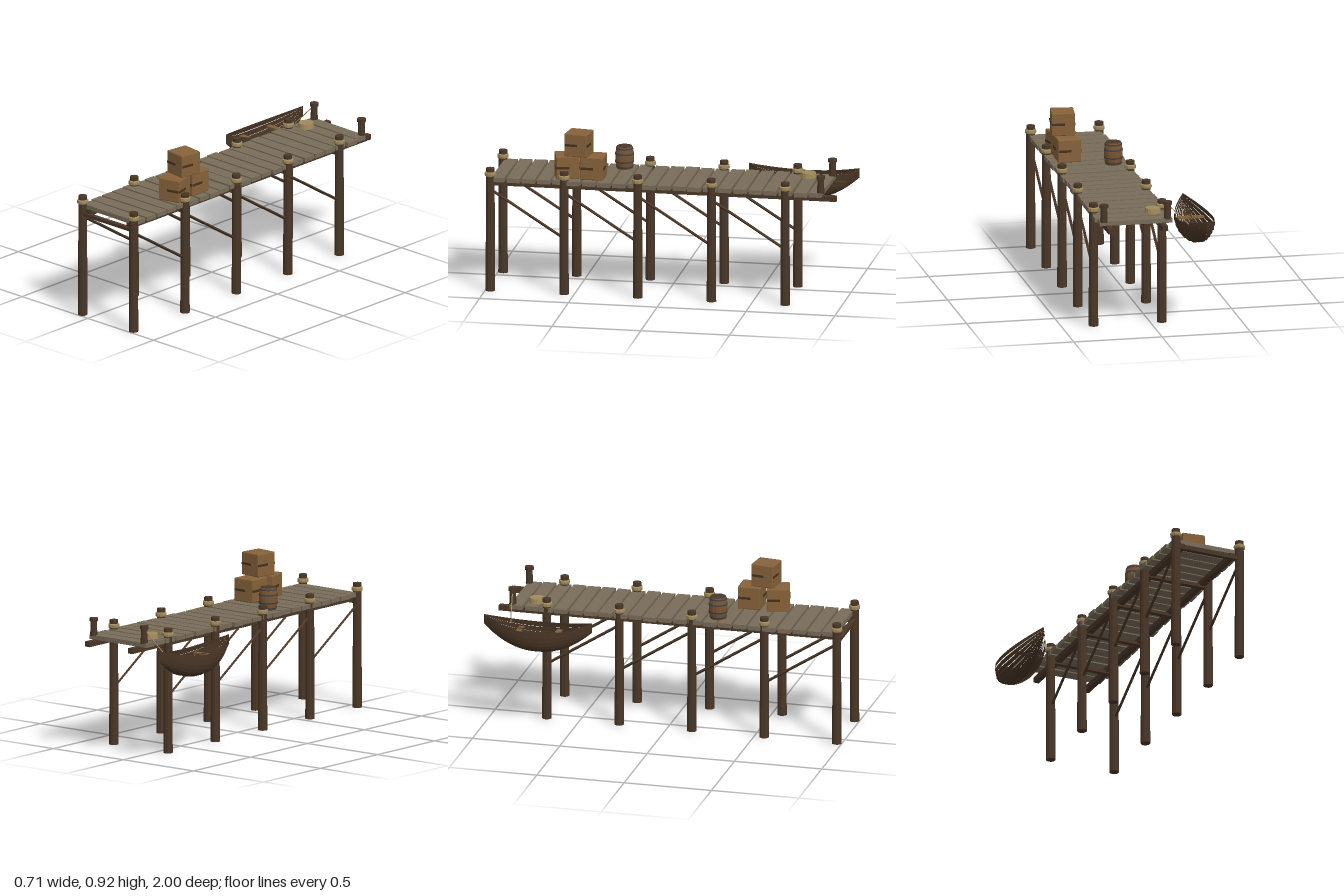
import * as THREE from 'three';
import { RoundedBoxGeometry } from 'three/addons/geometries/RoundedBoxGeometry.js';

const mat = (name, color, extra = {}) => {
  const m = new THREE.MeshStandardMaterial({ color, flatShading: true, ...extra });
  m.name = name;
  return m;
};

export function createModel() {
  const M = {
    timber: mat('dark timber', 0x4a3728),
    plank: mat('weathered plank', 0x786c59),
    crate: mat('crate wood', 0x86623a),
    barrel: mat('barrel wood', 0x7a5533),
    iron: mat('iron', 0x3c4246),
    slat: mat('crate slat', 0x45321f),
    rope: mat('rope', 0xa08a5c),
    hull: mat('hull wood', 0x473424, { side: THREE.DoubleSide }),
    thwart: mat('thwart wood', 0x80603c),
  };
  const root = new THREE.Group();
  root.name = 'pier';
  let seed = 7;
  const jitter = (a) => {
    seed = (seed * 16807) % 2147483647;
    return (seed / 2147483647 - 0.5) * 2 * a;
  };
  const add = (parent, name, geo, material, x = 0, y = 0, z = 0, ry = 0) => {
    const m = new THREE.Mesh(geo, material);
    m.name = name;
    m.position.set(x, y, z);
    m.rotation.y = ry;
    parent.add(m);
    return m;
  };
  const box = (w, h, d) => new THREE.BoxGeometry(w, h, d);
  const cyl = (rt, rb, h, n = 10) => new THREE.CylinderGeometry(rt, rb, h, n);
  // round bar between two points
  const bar = (parent, name, a, b, r, material, n = 6) => {
    const A = new THREE.Vector3(...a), B = new THREE.Vector3(...b);
    const d = B.clone().sub(A);
    const m = add(parent, name, cyl(r, r, d.length(), n), material);
    m.position.copy(A).add(B).multiplyScalar(0.5);
    m.quaternion.setFromUnitVectors(new THREE.Vector3(0, 1, 0), d.normalize());
    return m;
  };

  // deck planks
  for (let i = 0; i < 22; i++) {
    add(root, 'deckPlank', box(0.415 + jitter(0.008), 0.025, 0.073), M.plank,
      0.125 + jitter(0.006), 0.6385 + jitter(0.0015), 0.928 - i * 0.0851, jitter(0.018));
  }
  // stringers under the deck
  for (const x of [-0.024, 0.281]) add(root, 'stringer', box(0.032, 0.03, 1.94), M.timber, x, 0.612, 0);

  // posts with rope collars, cross beams and braces
  const postX = [-0.065, 0.322];
  const postZ = [0.972, 0.557, 0.142, -0.273, -0.688];
  postZ.forEach((z, i) => {
    add(root, 'crossBeam', box(0.39, 0.018, 0.028), M.timber, 0.128, 0.597, z);
    for (const x of postX) {
      add(root, 'post', cyl(0.024, 0.027, 0.703), M.timber, x, 0.3515, z);
      const collar = [[0.024, 0.656], [0.031, 0.66], [0.032, 0.669], [0.031, 0.678], [0.024, 0.682]];
      add(root, 'ropeCollar', new THREE.LatheGeometry(collar.map((p) => new THREE.Vector2(...p)), 10), M.rope, x, 0, z);
      if (i < 4) {
        bar(root, 'brace', [x, 0.575, z - 0.01], [x, 0.325, postZ[i + 1] + 0.01], 0.008, M.timber, 4);
      }
    }
  });

  // mooring bollards at the far end
  for (const x of [-0.055, 0.305]) {
    add(root, 'bollard', cyl(0.018, 0.021, 0.085), M.timber, x, 0.688, -0.885);
    add(root, 'bollardCap', cyl(0.025, 0.025, 0.018), M.timber, x, 0.737, -0.885);
  }

  // rope coil
  add(root, 'ropeCoil', cyl(0.041, 0.045, 0.028, 14), M.rope, 0.001, 0.665, -0.76);

  // barrel
  const barrel = new THREE.Group();
  barrel.name = 'barrel';
  barrel.position.set(0.003, 0.651, 0.275);
  root.add(barrel);
  const barrelR = (y) => 0.0525 - 0.009 * ((y - 0.0635) / 0.0635) ** 2;
  const staves = [];
  for (let i = 0; i <= 8; i++) staves.push(new THREE.Vector2(barrelR(i * 0.0159), i * 0.0159));
  add(barrel, 'barrelStaves', new THREE.LatheGeometry([new THREE.Vector2(0, 0), ...staves], 16), M.barrel);
  add(barrel, 'barrelLid', cyl(0.0425, 0.0425, 0.004, 16), M.timber, 0, 0.126, 0);
  for (const y of [0.011, 0.041, 0.086, 0.116]) {
    add(barrel, 'barrelHoop', cyl(barrelR(y + 0.004) + 0.002, barrelR(y - 0.004) + 0.002, 0.008, 16), M.iron, 0, y, 0);
  }

  // crates with a slat on each side
  const crate = (x, y, z, ry, shift) => {
    const g = new THREE.Group();
    g.name = 'crate';
    g.position.set(x, y, z);
    g.rotation.y = ry;
    root.add(g);
    add(g, 'crateBody', new RoundedBoxGeometry(0.13, 0.13, 0.13, 1, 0.005), M.crate);
    for (let k = 0; k < 4; k++) {
      const side = new THREE.Group();
      side.name = 'crateSide';
      side.rotation.y = k * Math.PI / 2;
      g.add(side);
      add(side, 'crateSlat', box(0.072, 0.013, 0.006), M.slat, k === 0 ? shift : -0.026, 0, 0.065);
    }
  };
  crate(0.24, 0.718, 0.556, 0.26, 0.026);
  crate(0.235, 0.718, 0.407, 0, 0.026);
  crate(0.246, 0.85, 0.487, -0.13, -0.026);

  // lapstrake rowing boat
  const boat = new THREE.Group();
  boat.name = 'rowingBoat';
  boat.position.set(-0.25, 0, -0.69);
  root.add(boat);
  const halfLength = 0.31, strakes = 7, stations = 20;
  const hullPoint = (u, t, lap) => {
    const a = u * Math.PI / 2, t2 = t * t;
    const keel = 0.462 + 0.128 * Math.abs(t) ** 2.2, sheer = 0.592 + 0.053 * t2;
    const w = 0.102 * (1 - t2), out = lap * (1 - t2);
    return [w * Math.sin(a) + out * Math.sin(a + 0.2), keel + (sheer - keel) * (1 - Math.cos(a)) - out * 0.6 * Math.cos(a), t * halfLength];
  };
  for (const side of [1, -1]) {
    for (let k = 0; k < strakes; k++) {
      const pos = [], idx = [];
      for (let j = 0; j <= stations; j++) {
        const t = -1 + 2 * j / stations;
        for (const [u, lap] of [[k / strakes, k ? 0.007 : 0], [(k + 1) / strakes, 0]]) {
          const [x, y, z] = hullPoint(u, t, lap);
          pos.push(x * side, y, z);
        }
        if (j < stations) {
          const a = j * 2;
          if (side > 0) idx.push(a, a + 1, a + 2, a + 1, a + 3, a + 2);
          else idx.push(a, a + 2, a + 1, a + 1, a + 2, a + 3);
        }
      }
      const geo = new THREE.BufferGeometry();
      geo.setAttribute('position', new THREE.Float32BufferAttribute(pos, 3));
      geo.setIndex(idx);
      geo.computeVertexNormals();
      add(boat, 'hullStrake', geo, M.hull);
    }
  }
  for (const z of [-0.112, 0.106]) add(boat, 'thwart', box(0.15, 0.01, 0.03), M.thwart, 0, 0.562, z);
  bar(boat, 'oar', [0.03, 0.571, -0.12], [-0.022, 0.571, 0.24], 0.003, M.timber);

  // mooring rope from bollard to boat
  const rope = new THREE.QuadraticBezierCurve3(
    new THREE.Vector3(-0.06, 0.725, -0.885),
    new THREE.Vector3(-0.13, 0.65, -0.875),
    new THREE.Vector3(-0.195, 0.585, -0.86));
  add(root, 'mooringRope', new THREE.TubeGeometry(rope, 8, 0.003, 5), M.rope);

  return root;
}
